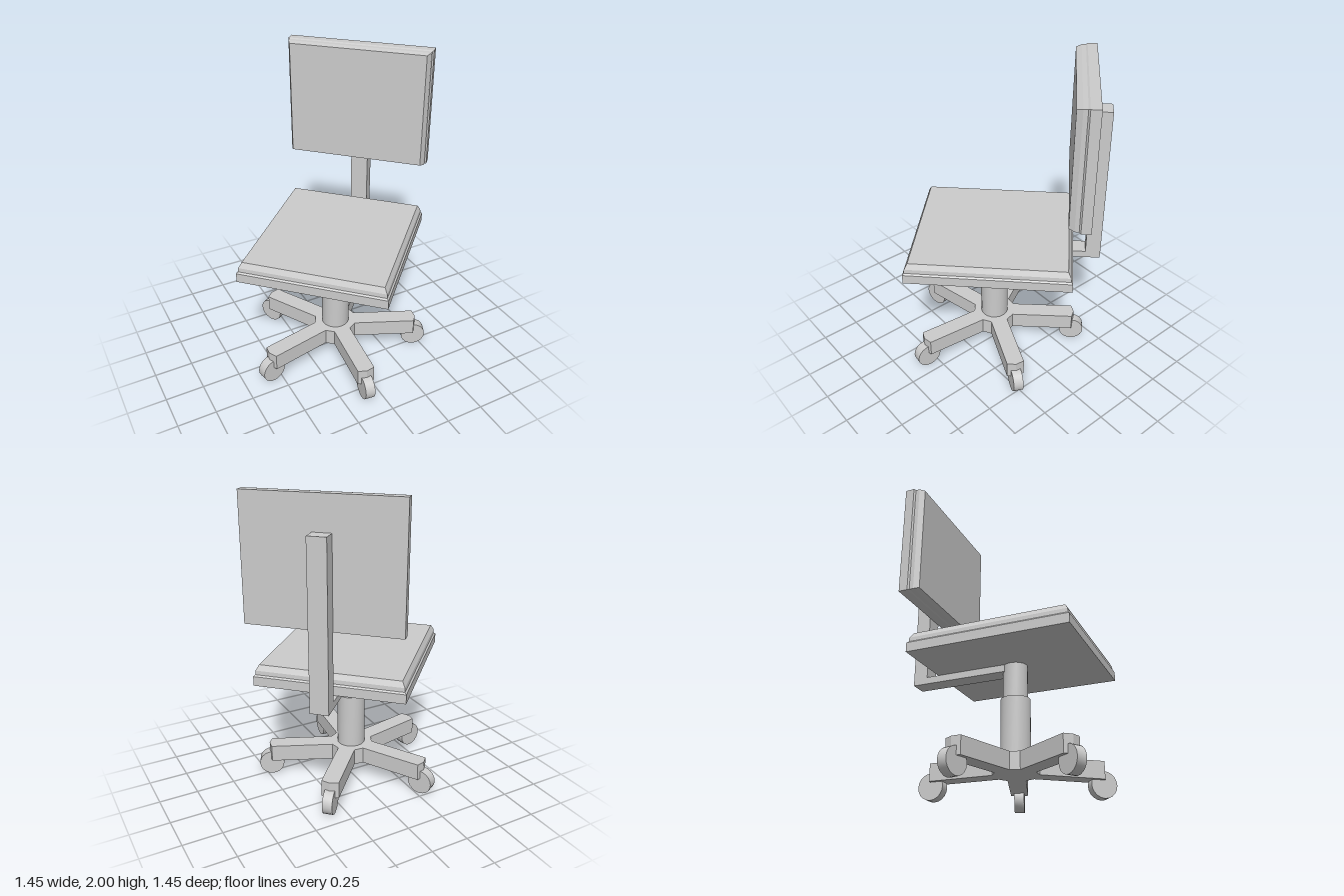
import * as THREE from 'three';
import { toCreasedNormals } from 'three/addons/utils/BufferGeometryUtils.js';

const grey = new THREE.MeshStandardMaterial({ color: 0xcccccc });

function add(parent, name, geometry, x = 0, y = 0, z = 0) {
  const mesh = new THREE.Mesh(geometry, grey);
  mesh.name = name;
  mesh.position.set(x, y, z);
  parent.add(mesh);
  return mesh;
}

// Padded board: rows of [height, inset] shape a box from its bottom up
function panelGeometry(width, depth, insetZ = 1) {
  const rows = [[0, 0], [0.06, 0], [0.07, 0.01], [0.096, 0.012], [0.13, 0.03]];
  const n = rows.length - 1;
  const box = new THREE.BoxGeometry(1, 1, 1, 1, n, 1);
  const p = box.attributes.position;
  for (let i = 0; i < p.count; i++) {
    const [h, inset] = rows[Math.round((p.getY(i) + 0.5) * n)];
    p.setXYZ(i, p.getX(i) * (width - 2 * inset), h, p.getZ(i) * (depth - 2 * inset * insetZ));
  }
  const geometry = box.toNonIndexed();
  geometry.computeVertexNormals();
  return geometry;
}

const cylinder = (r, h) => toCreasedNormals(new THREE.CylinderGeometry(r, r, h, 20), 0.6);

export function createModel() {
  const model = new THREE.Group();
  model.name = 'swivelChair';
  const cx = -0.03, cz = 0.025;

  // Swivelling top, turned on the column
  const top = new THREE.Group();
  top.name = 'swivelTop';
  top.position.set(cx, 0, cz);
  top.rotation.y = -0.777;
  model.add(top);

  add(top, 'seat', panelGeometry(0.944, 1.03), 0, 0.8, 0);
  const back = add(top, 'backrest', panelGeometry(0.944, 0.77, 0.5), 0, 1.615, -0.597);
  back.rotation.x = Math.PI / 2;

  // L-shaped support under the seat and behind the backrest, one outline
  const bar = new THREE.Shape([[0.05, 0.755], [0.692, 0.755], [0.692, 1.79], [0.597, 1.79], [0.597, 0.8], [0.05, 0.8]]
    .map(([x, y]) => new THREE.Vector2(x, y)));
  const support = new THREE.ExtrudeGeometry(bar, { depth: 0.115, bevelEnabled: false });
  support.translate(0, 0, -0.0575);
  add(top, 'backSupport', support, -0.004, 0, 0).rotation.y = Math.PI / 2;

  // Telescopic column
  add(model, 'lowerColumn', cylinder(0.092, 0.4), cx, 0.38, cz);
  add(model, 'upperColumn', cylinder(0.077, 0.24), cx, 0.68, cz);

  // Five-legged base with slightly pointed leg ends
  const base = new THREE.Group();
  base.name = 'base';
  base.position.set(cx, 0, cz);
  model.add(base);
  const outline = [];
  const angles = [0, 1, 2, 3, 4].map((i) => THREE.MathUtils.degToRad(24.7 + 72 * i));
  const leg = [[0.13, -0.056], [0.54, -0.056], [0.556, 0], [0.54, 0.056], [0.13, 0.056]];
  for (const a of angles) {
    for (const [r, t] of leg) {
      outline.push(new THREE.Vector2(r * Math.cos(a) - t * Math.sin(a), r * Math.sin(a) + t * Math.cos(a)));
    }
  }
  const star = new THREE.ExtrudeGeometry(new THREE.Shape(outline), { depth: 0.11, bevelEnabled: false });
  star.rotateX(Math.PI / 2);
  add(base, 'starBase', star, 0, 0.22, 0);

  // Caster wheels rolling along each leg
  const wheel = cylinder(0.082, 0.064).rotateX(Math.PI / 2);
  for (const a of angles) {
    add(base, 'casterWheel', wheel, 0.542 * Math.cos(a), 0.082, 0.542 * Math.sin(a)).rotation.y = -a;
  }
  return model;
}
